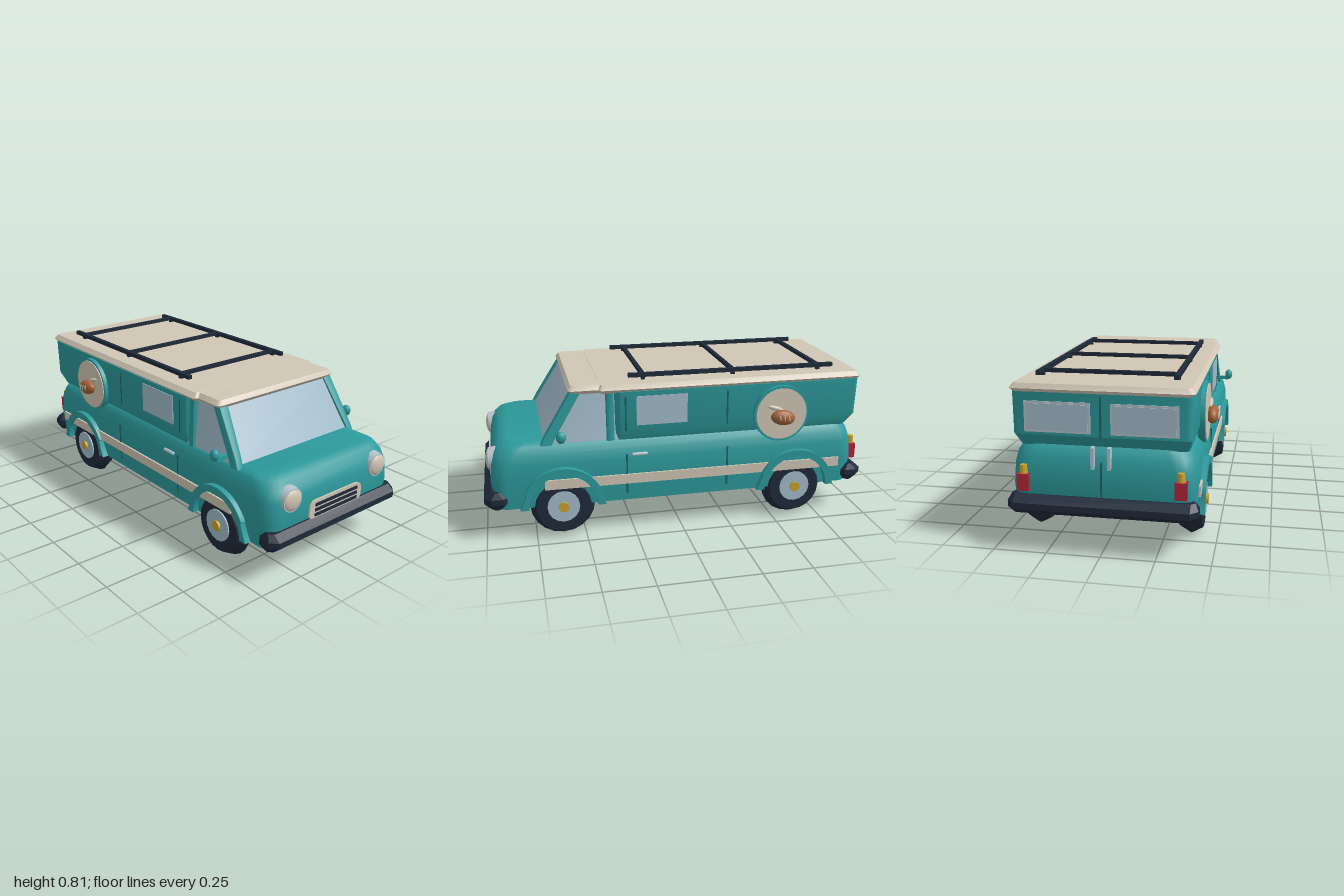
import * as THREE from 'three';
import { toCreasedNormals } from 'three/addons/utils/BufferGeometryUtils.js';

const mat = (name, color) => {
  const m = new THREE.MeshStandardMaterial({ color });
  m.name = name;
  return m;
};

// horizontal rounded rectangle at height y; n = points per corner minus one
function ring(y, x0, x1, z0, z1, r = 0.001, n = 1) {
  const pts = [];
  const corners = [[x1 - r, z0 + r], [x0 + r, z0 + r], [x0 + r, z1 - r], [x1 - r, z1 - r]];
  corners.forEach(([cx, cz], k) => {
    for (let i = 0; i <= n; i++) {
      const a = (k + i / n) * Math.PI / 2;
      pts.push([cx + r * Math.cos(a), y, cz - r * Math.sin(a)]);
    }
  });
  return pts;
}

// skin between stacked rings, capped at both ends
function loft(rings, crease = 0.6) {
  const n = rings[0].length, idx = [], top = (rings.length - 1) * n;
  for (let j = 0; j < rings.length - 1; j++) {
    for (let i = 0; i < n; i++) {
      const a = j * n + i, b = j * n + (i + 1) % n;
      idx.push(a, b, b + n, a, b + n, a + n);
    }
  }
  for (let i = 1; i < n - 1; i++) idx.push(0, i + 1, i, top, top + i, top + i + 1);
  const g = new THREE.BufferGeometry();
  g.setAttribute('position', new THREE.Float32BufferAttribute(rings.flat(2), 3));
  g.setIndex(idx);
  return toCreasedNormals(g, crease);
}

export function createModel() {
  const van = new THREE.Group();
  van.name = 'van';
  const teal = mat('tealPaint', 0x2d9a9c), cream = mat('cream', 0xd0c6b5);
  const dark = mat('darkRubber', 0x1f2a3a), glass = mat('glass', 0xa3bccb);
  const metal = mat('metal', 0xb4c2cb), red = mat('redLamp', 0xb3263a);
  const gold = mat('gold', 0xc9a22e), crust = mat('crust', 0xa4633a);
  const seamTeal = mat('seamTeal', 0x1c6265);

  const add = (name, geo, material, x = 0, y = 0, z = 0) => {
    const m = new THREE.Mesh(geo, material);
    m.name = name;
    m.position.set(x, y, z);
    van.add(m);
    return m;
  };
  // box given by its limits
  const box = (name, material, x0, x1, y0, y1, z0, z1) =>
    add(name, new THREE.BoxGeometry(x1 - x0, y1 - y0, Math.abs(z1 - z0)), material,
      (x0 + x1) / 2, (y0 + y1) / 2, (z0 + z1) / 2);
  const disc = (name, material, r, depth, x, y, z, seg = 24) =>
    add(name, new THREE.CylinderGeometry(r, r, depth, seg).rotateX(Math.PI / 2), material, x, y, z);
  const stack = (rows, n) => loft(rows.map(([y, x0, x1, h, r]) => ring(y, x0, x1, -h, h, r, n)));

  // body shells
  add('lowerBody', stack([
    [0.17, -0.93, 0.94, 0.415, 0.06], [0.3, -0.955, 0.962, 0.424, 0.08],
    [0.4, -0.95, 0.956, 0.42, 0.09], [0.45, -0.937, 0.942, 0.41, 0.1],
    [0.485, -0.92, 0.91, 0.39, 0.1], [0.5, -0.9, 0.87, 0.36, 0.09]], 5), teal);
  add('upperBody', stack([
    [0.485, -0.905, 0.335, 0.385, 0.03], [0.545, -0.95, 0.335, 0.405, 0.03],
    [0.74, -0.957, 0.335, 0.405, 0.03]], 3), teal);
  add('cabGlass', stack([
    [0.49, 0.3, 0.7, 0.384, 0.01], [0.745, 0.3, 0.545, 0.362, 0.01]], 2), glass);

  // roof
  add('roof', stack([
    [0.733, -0.953, 0.405, 0.392, 0.02], [0.754, -0.963, 0.415, 0.415, 0.02],
    [0.777, -0.95, 0.405, 0.395, 0.02]], 2), cream);
  add('cabRoof', stack([
    [0.735, 0.3, 0.55, 0.375, 0.02], [0.754, 0.3, 0.565, 0.392, 0.02],
    [0.776, 0.3, 0.55, 0.375, 0.02]], 2), cream);

  // roof rack
  for (const z of [-0.315, 0.315]) {
    box('rackRail', dark, -0.835, 0.255, 0.79, 0.81, z - 0.011, z + 0.011);
    for (const x of [-0.755, -0.29, 0.18]) box('rackFoot', dark, x - 0.01, x + 0.01, 0.77, 0.8, z - 0.008, z + 0.008);
  }
  for (const x of [-0.755, -0.29, 0.18]) box('rackCrossbar', dark, x - 0.01, x + 0.01, 0.791, 0.809, -0.315, 0.315);

  // bumpers
  for (const [name, a, b] of [['frontBumper', 0.87, 1], ['rearBumper', -1, -0.87]]) {
    add(name, loft([
      ring(0.175, a + 0.04, b - 0.035, -0.42, 0.42, 0.02), ring(0.205, a, b, -0.435, 0.435, 0.035),
      ring(0.235, a, b, -0.435, 0.435, 0.035), ring(0.265, a + 0.04, b - 0.035, -0.42, 0.42, 0.02)], 0.2), dark);
  }

  // grille
  const plate = new THREE.Shape();
  plate.moveTo(-0.15, -0.047).lineTo(0.15, -0.047).quadraticCurveTo(0.18, -0.047, 0.18, -0.02)
    .lineTo(0.18, 0.01).quadraticCurveTo(0.175, 0.045, 0.14, 0.047)
    .lineTo(-0.14, 0.047).quadraticCurveTo(-0.175, 0.045, -0.18, 0.01)
    .lineTo(-0.18, -0.02).quadraticCurveTo(-0.18, -0.047, -0.15, -0.047);
  add('grillePlate', new THREE.ExtrudeGeometry(plate, { depth: 0.018, bevelEnabled: false, curveSegments: 4 })
    .rotateY(Math.PI / 2), cream, 0.95, 0.307, 0);
  for (const y of [0.279, 0.305, 0.331]) box('grilleBar', dark, 0.962, 0.974, y - 0.007, y + 0.007, -0.145, 0.145);

  // wheel arch outline, feet flaring outward
  const arch = new THREE.Shape();
  arch.moveTo(0.215, 0);
  arch.quadraticCurveTo(0.19, 0.05, 0.18, 0.09);
  arch.absarc(0, 0, 0.208, 0.48, Math.PI - 0.48, false);
  arch.quadraticCurveTo(-0.19, 0.05, -0.215, 0);
  arch.lineTo(-0.172, 0);
  arch.absarc(0, 0, 0.172, Math.PI, 0, true);
  const archGeo = toCreasedNormals(new THREE.ExtrudeGeometry(arch,
    { depth: 0.06, bevelEnabled: false, curveSegments: 16 }).translate(0, 0, -0.03), 0.5);
  const tireGeo = toCreasedNormals(new THREE.LatheGeometry(
    [[0, -0.055], [0.135, -0.055], [0.165, 0], [0.135, 0.055], [0, 0.055]]
      .map(([r, y]) => new THREE.Vector2(r, y)), 20).rotateX(Math.PI / 2), 0.4);

  for (const s of [-1, 1]) {
    // wheels and arches
    for (const x of [-0.615, 0.612]) {
      add('tire', tireGeo, dark, x, 0.167, s * 0.375);
      disc('hubcap', glass, 0.082, 0.02, x, 0.17, s * 0.427, 16);
      disc('hubCenter', gold, 0.027, 0.03, x, 0.17, s * 0.434, 8);
      add('wheelArch', archGeo, teal, x, 0.17, s * 0.419);
    }
    // side trim
    box('sideStripe', cream, -0.86, 0.7, 0.265, 0.315, s * 0.415, s * 0.433);
    for (const x of [-0.24, 0.285]) {
      box('upperDoorSeam', seamTeal, x - 0.004, x + 0.004, 0.54, 0.715, s * 0.4, s * 0.408);
      box('lowerDoorSeam', seamTeal, x - 0.004, x + 0.004, 0.21, 0.42, s * 0.418, s * 0.426);
    }
    box('sideWindow', glass, -0.03, 0.23, 0.565, 0.715, s * 0.4, s * 0.409);
    const handle = add('doorHandle', new THREE.CapsuleGeometry(0.009, 0.065, 4, 8), metal, 0.22, 0.42, s * 0.428);
    handle.rotation.z = Math.PI / 2;

    // cab pillars and mirror
    const post = (y, x0, x1, a, b) => ring(y, x0, x1, Math.min(s * a, s * b), Math.max(s * a, s * b), 0.012, 2);
    add('windshieldPillar', loft([post(0.487, 0.655, 0.712, 0.36, 0.402), post(0.53, 0.63, 0.69, 0.352, 0.396),
      post(0.745, 0.5, 0.555, 0.322, 0.378)]), teal);
    add('doorPillar', loft([post(0.49, 0.34, 0.38, 0.35, 0.4), post(0.74, 0.34, 0.38, 0.35, 0.392)]), teal);
    box('mirrorArm', teal, 0.605, 0.625, 0.513, 0.533, s * 0.375, s * 0.45);
    add('mirror', new THREE.SphereGeometry(1, 12, 8).scale(0.025, 0.03, 0.022), teal, 0.612, 0.545, s * 0.455);

    // round bakery sign
    disc('signRim', teal, 0.148, 0.034, -0.525, 0.58, s * 0.41, 32);
    disc('signFace', cream, 0.136, 0.008, -0.525, 0.58, s * 0.428, 32);
    const loaf = new THREE.Group();
    loaf.name = 'loaf';
    loaf.position.set(-0.525, 0.567, s * 0.452);
    loaf.rotation.z = 0.15;
    van.add(loaf);
    loaf.add(Object.assign(new THREE.Mesh(new THREE.SphereGeometry(1, 16, 10).scale(0.066, 0.04, 0.031), crust), { name: 'loafCrust' }));
    for (const x of [-0.025, 0, 0.025]) {
      const cut = new THREE.Mesh(new THREE.SphereGeometry(1, 8, 6).scale(0.004, 0.018, 0.005), cream);
      cut.name = 'loafScore';
      cut.position.set(x, 0.003, s * 0.029);
      cut.rotation.z = -0.4;
      loaf.add(cut);
    }
    add('breadKnife', new THREE.SphereGeometry(1, 12, 8).scale(0.045, 0.012, 0.012), cream, -0.488, 0.615, s * 0.438)
      .rotation.z = 0.3;

    // headlights
    add('headlightRim', new THREE.CylinderGeometry(0.058, 0.067, 0.05, 16).rotateZ(-Math.PI / 2), metal, 0.942, 0.402, s * 0.293);
    add('headlightLens', new THREE.SphereGeometry(1, 20, 12).scale(0.022, 0.055, 0.055), cream, 0.96, 0.402, s * 0.293);

    // rear doors and lamps
    box('rearWindowFrame', metal, -0.96, -0.945, 0.56, 0.7, s * 0.045, s * 0.345);
    box('rearWindow', glass, -0.964, -0.95, 0.57, 0.69, s * 0.055, s * 0.335);
    box('rearHandle', metal, -0.968, -0.935, 0.4, 0.5, s * 0.03, s * 0.045);
    box('tailLamp', red, -0.976, -0.925, 0.285, 0.365, s * 0.33, s * 0.385);
    add('turnLamp', new THREE.CylinderGeometry(0.016, 0.02, 0.04, 10), gold, -0.956, 0.385, s * 0.357);
  }
  box('rearDoorSeamUpper', seamTeal, -0.961, -0.945, 0.545, 0.73, -0.004, 0.004);
  box('rearDoorSeamLower', seamTeal, -0.958, -0.94, 0.27, 0.43, -0.004, 0.004);
  return van;
}
